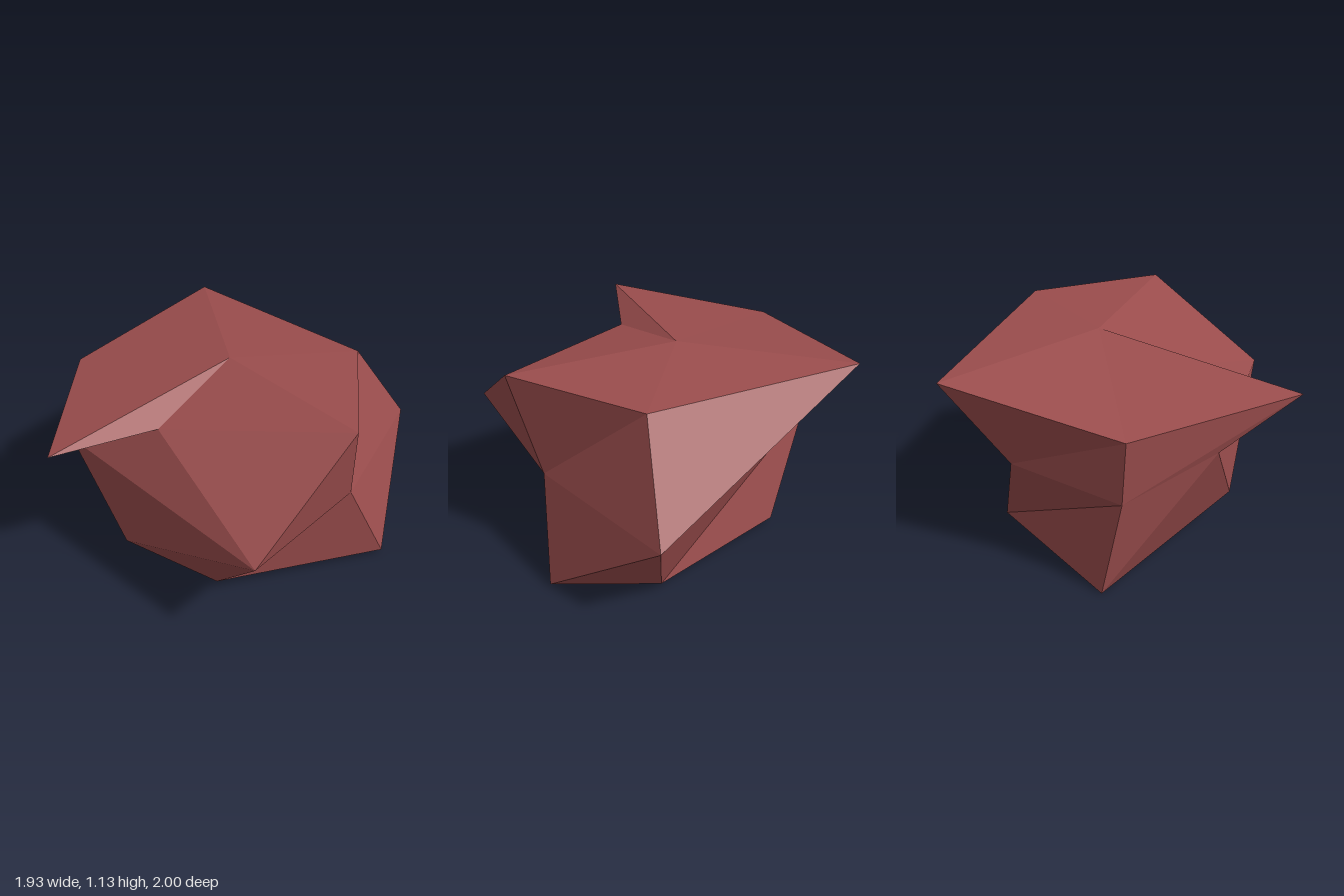
import * as THREE from 'three';

// Rough faceted boulder: three six-point rings between a top and a bottom point.
const TOP = [-0.04, 1.135, -0.14];
const BOTTOM = [0.025, 0.003, -0.295];
const RINGS = [
  // upper rim
  [[0.905, 1.135, 0.085], [0.52, 1.128, -0.64], [-0.745, 1.085, -0.86],
    [-0.965, 0.94, 0.14], [-0.395, 0.975, 1.0], [-0.085, 0.975, 0.475]],
  // waist
  [[0.823, 0.575, -0.097], [0.7, 0.58, -1.0], [-0.72, 0.62, -0.51],
    [-0.965, 0.58, 0.12], [-0.65, 0.735, 0.58], [0.745, 0.63, 0.77]],
  // foot
  [[0.965, 0.018, -0.335], [0.487, 0.05, -0.72], [-0.38, 0.05, -0.66],
    [-0.968, 0.003, 0.01], [-0.22, 0.216, 0.655], [0.327, 0.078, 0.51]],
];

function rockGeometry() {
  const corners = [];
  const tri = (a, b, c) => corners.push(...a, ...b, ...c);
  const [upper, , foot] = RINGS;
  const n = upper.length;
  for (let i = 0; i < n; i++) {
    const j = (i + 1) % n;
    // caps
    tri(TOP, upper[i], upper[j]);
    tri(BOTTOM, foot[j], foot[i]);
    // sides
    for (let r = 0; r < RINGS.length - 1; r++) {
      const hi = RINGS[r], lo = RINGS[r + 1];
      tri(hi[i], lo[i], hi[j]);
      tri(lo[i], lo[j], hi[j]);
    }
  }
  // unshared corners give flat facets
  const geometry = new THREE.BufferGeometry();
  geometry.setAttribute('position', new THREE.Float32BufferAttribute(corners, 3));
  geometry.computeVertexNormals();
  return geometry;
}

export function createModel() {
  const model = new THREE.Group();
  model.name = 'boulder';
  const stone = new THREE.MeshStandardMaterial({ color: 0x9b4d4d });
  stone.name = 'red stone';
  const rock = new THREE.Mesh(rockGeometry(), stone);
  rock.name = 'rock';
  model.add(rock);
  return model;
}
